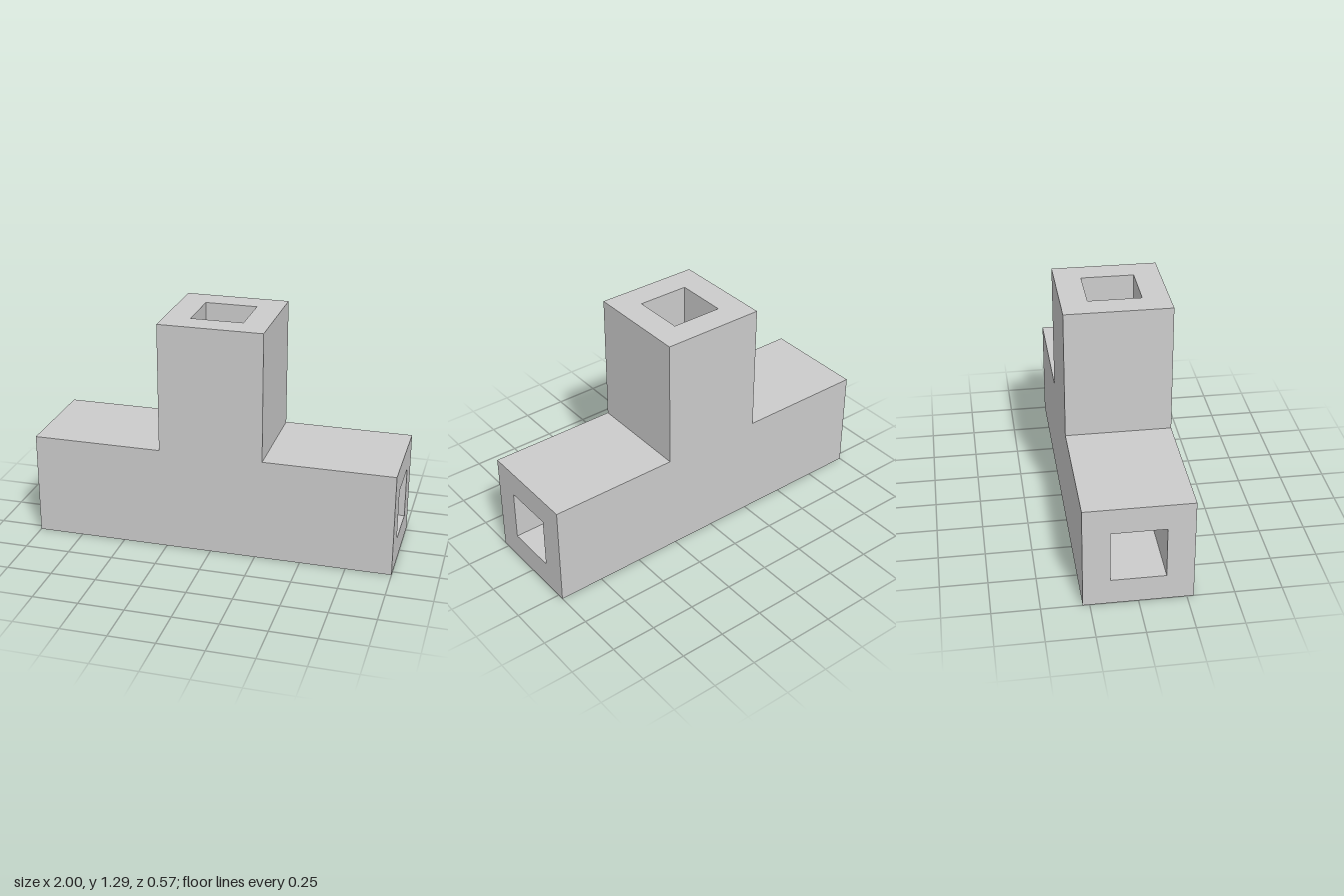
import * as THREE from 'three';
import { mergeGeometries } from 'three/addons/utils/BufferGeometryUtils.js';

const U = 2 / 7; // full width of the bore; all sizes are multiples of half of it
const H = U / 2;
const material = new THREE.MeshStandardMaterial({ color: 0xcccccc, flatShading: true });

// Tee outline, counter-clockwise, for a tube of half-width w around an axis at y = U
function teeOutline(w) {
  const lo = U - w, hi = U + w, top = 9 * H;
  return [[-1, lo], [1, lo], [1, hi], [w, hi], [w, top], [-w, top], [-w, hi], [-1, hi]]
    .map(([x, y]) => new THREE.Vector2(x, y));
}

// Tee-shaped skin, left open at its three ends
function teeSkin(w, inward) {
  const pts = teeOutline(w);
  const shape = new THREE.Shape(pts);
  const parts = [
    new THREE.ShapeGeometry(shape).translate(0, 0, w),
    new THREE.ShapeGeometry(shape).rotateY(Math.PI).translate(0, 0, -w),
  ];
  const openEnds = [1, 4, 7];
  pts.forEach((a, i) => {
    if (openEnds.includes(i)) return;
    const b = pts[(i + 1) % pts.length];
    parts.push(new THREE.PlaneGeometry(a.distanceTo(b), 2 * w)
      .rotateX(Math.PI / 2)
      .rotateZ(Math.atan2(b.y - a.y, b.x - a.x))
      .translate((a.x + b.x) / 2, (a.y + b.y) / 2, 0));
  });
  const geometry = mergeGeometries(parts);
  if (inward) {
    geometry.index.array.reverse();
    const normals = geometry.attributes.normal.array;
    normals.forEach((n, i) => { normals[i] = -n; });
  }
  return geometry;
}

// Square end face with a square opening
function endFrame() {
  const square = (w) => [[-w, -w], [w, -w], [w, w], [-w, w]].map(([x, y]) => new THREE.Vector2(x, y));
  const shape = new THREE.Shape(square(U));
  shape.holes.push(new THREE.Path(square(H)));
  return new THREE.ShapeGeometry(shape);
}

export function createModel() {
  const group = new THREE.Group();
  group.name = 'squareTeeConnector';
  const add = (name, geometry) => {
    const mesh = new THREE.Mesh(geometry, material);
    mesh.name = name;
    group.add(mesh);
  };

  // Outer body and the connected bore inside it
  add('outerBody', teeSkin(U, false));
  add('innerBore', teeSkin(H, true));

  // Rims closing the wall thickness at the three openings
  add('leftRim', endFrame().rotateY(Math.PI / 2).translate(1, U, 0));
  add('rightRim', endFrame().rotateY(-Math.PI / 2).translate(-1, U, 0));
  add('topRim', endFrame().rotateX(-Math.PI / 2).translate(0, 9 * H, 0));

  return group;
}
